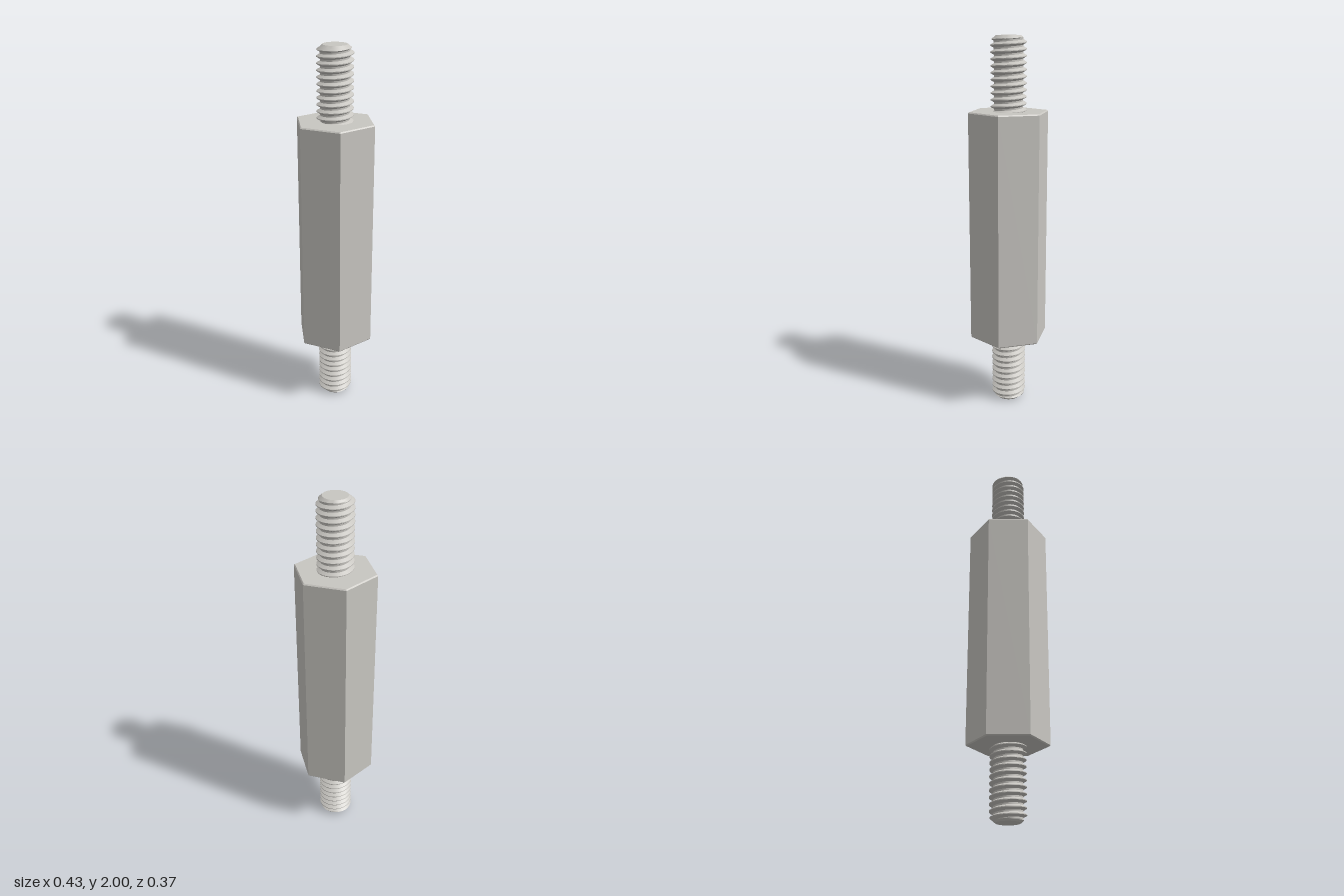
import * as THREE from 'three';
import { toCreasedNormals } from 'three/addons/utils/BufferGeometryUtils.js';

const CREST = 0.093, ROOT = 0.075, TIP = 0.063, PITCH = 0.034;
const STUD = 0.4, CHAMFER = 0.025, SEGMENTS = 48;
// one pitch of the thread, as fractions: root, flank, crest, flank
const STEPS = [0, 0.125, 0.23, 0.335, 0.4375, 0.5625, 0.665, 0.77, 0.875];

// radius of the thread, cut down by the cone at the tip
function threadRadius(f, y) {
  const t = THREE.MathUtils.clamp((Math.abs(f - 0.5) - 0.0625) / 0.3125, 0, 1);
  const thread = CREST + (ROOT - CREST) * t;
  return Math.min(thread, TIP + (STUD - y) / CHAMFER * (CREST - TIP));
}

// right-handed helical thread; rows follow the helix and are clamped to the ends
function threadGeometry() {
  const rows = [];
  for (let k = -1; k <= Math.ceil(STUD / PITCH); k++) STEPS.forEach(f => rows.push([k, f]));
  const point = (i, j) => {
    const turn = i / SEGMENTS, a = turn * Math.PI * 2, [k, f] = rows[j];
    const y = THREE.MathUtils.clamp((k + f + turn) * PITCH, 0, STUD);
    const u = y / PITCH - turn;
    const r = threadRadius(u - Math.floor(u), y);
    return new THREE.Vector3(r * Math.cos(a), y, -r * Math.sin(a));
  };
  const pos = [];
  const tri = (a, b, c) => {
    const area = b.clone().sub(a).cross(c.clone().sub(a)).length();
    if (area > 1e-9) for (const p of [a, b, c]) pos.push(p.x, p.y, p.z);
  };
  for (let j = 0; j < rows.length - 1; j++) {
    for (let i = 0; i < SEGMENTS; i++) {
      const a = point(i, j), b = point(i + 1, j), c = point(i + 1, j + 1), d = point(i, j + 1);
      tri(a, b, c);
      tri(a, c, d);
    }
  }
  const g = new THREE.BufferGeometry();
  g.setAttribute('position', new THREE.Float32BufferAttribute(pos, 3));
  return toCreasedNormals(g, 0.5);
}

export function createModel() {
  const steel = new THREE.MeshStandardMaterial({ color: 0xc8c6c1 });
  steel.name = 'steel';
  const model = new THREE.Group();
  model.name = 'hexStandoff';

  // hexagonal body with small chamfers at both ends
  const profile = [[0, 0.38], [0.209, 0.38], [0.215, 0.386], [0.215, 1.614], [0.209, 1.62], [0, 1.62]]
    .map(([r, y]) => new THREE.Vector2(r, y));
  const hex = new THREE.LatheGeometry(profile, 6, Math.PI / 6);
  const body = new THREE.Mesh(toCreasedNormals(hex, 0.3), steel);
  body.name = 'hexBody';
  model.add(body);

  // threaded studs, the lower one turned upside down
  const thread = threadGeometry();
  const cap = new THREE.CircleGeometry(TIP, SEGMENTS).rotateX(-Math.PI / 2).translate(0, STUD, 0);
  for (const top of [true, false]) {
    const stud = new THREE.Group();
    stud.name = top ? 'upperStud' : 'lowerStud';
    const shaft = new THREE.Mesh(thread, steel);
    shaft.name = 'thread';
    const end = new THREE.Mesh(cap, steel);
    end.name = 'studEnd';
    stud.add(shaft, end);
    stud.position.y = top ? 2 - STUD : STUD;
    if (!top) stud.rotation.x = Math.PI;
    model.add(stud);
  }
  return model;
}
